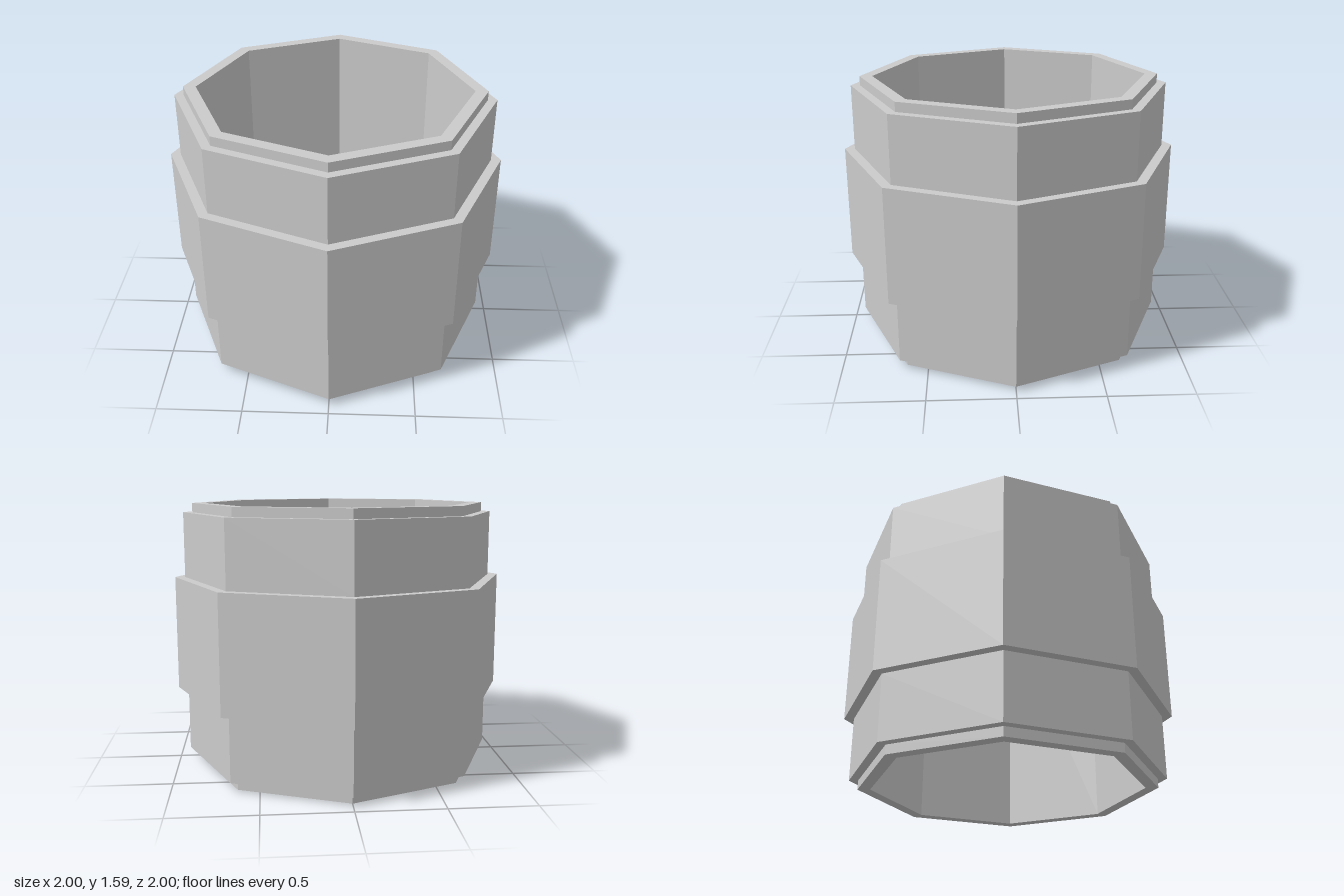
import * as THREE from 'three';

// Octagonal open sleeve with a stepped outer wall
export function createModel() {
  const group = new THREE.Group();
  group.name = 'steppedSleeve';

  const bore = 0.81, lip = 0.885, collar = 0.94, band = 1;
  // Closed wall section as [radius, height], up the outside and down the bore
  const section = [
    [bore, 0], [lip, 0],
    [lip, 0.055], [collar, 0.055],
    [collar, 0.447], [band, 0.447],
    [band, 1.138], [collar, 1.138],
    [collar, 1.53], [lip, 1.53],
    [lip, 1.585], [bore, 1.585],
    [bore, 0],
  ].map(([r, y]) => new THREE.Vector2(r, y));

  const sleeve = new THREE.Mesh(
    new THREE.LatheGeometry(section, 8),
    new THREE.MeshStandardMaterial({ color: 0xcccccc, flatShading: true })
  );
  sleeve.name = 'sleeveWall';
  group.add(sleeve);
  return group;
}
